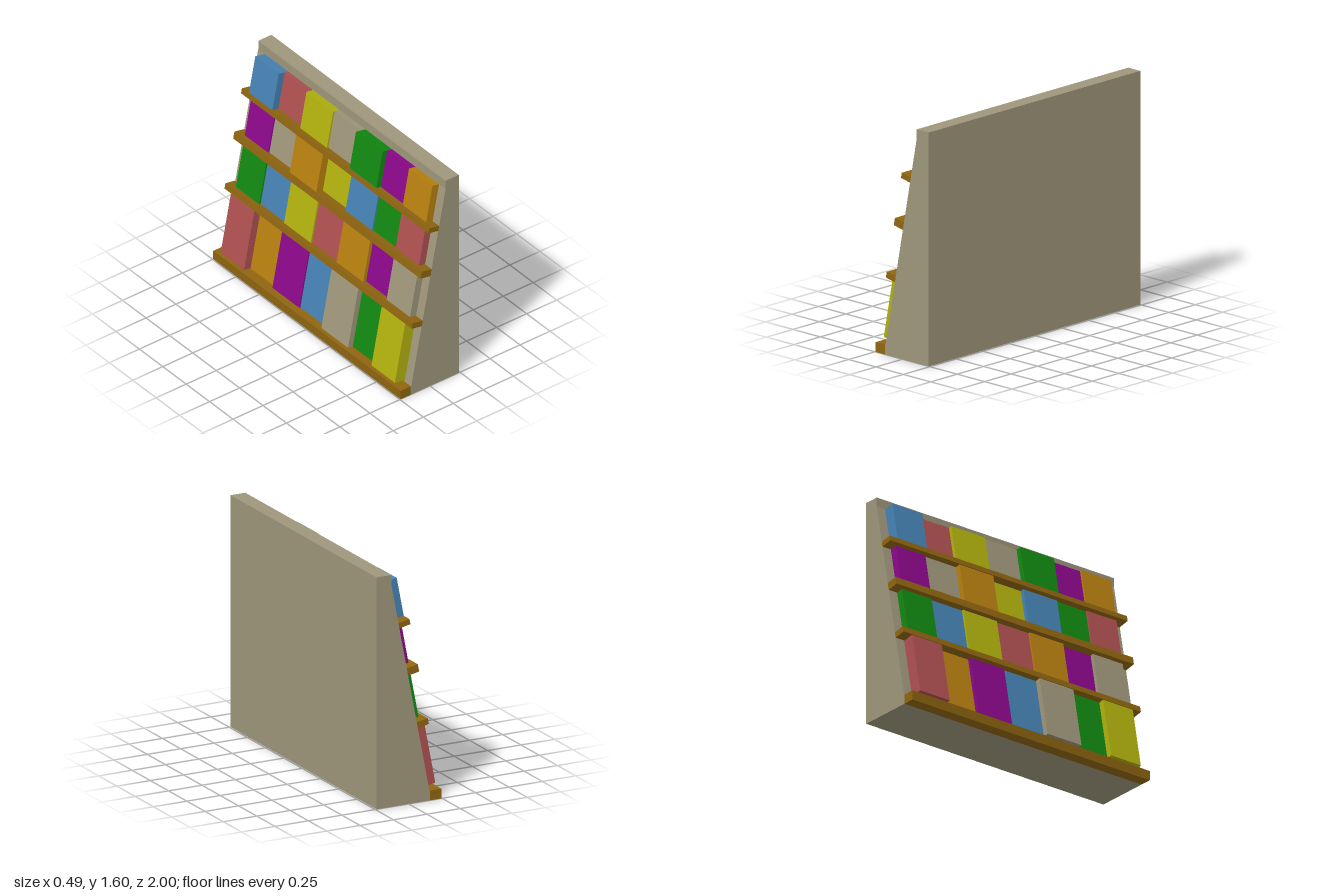
import * as THREE from 'three';

const TILT = THREE.MathUtils.degToRad(11);
const COLORS = {
  stone: 0x9f977b, wood: 0x8f6510, red: 0xaf5050, orange: 0xb8800f, purple: 0x8b088b,
  blue: 0x4682b4, green: 0x118811, yellow: 0xb2b20e,
};
const materials = {};
for (const [key, color] of Object.entries(COLORS)) {
  materials[key] = new THREE.MeshStandardMaterial({ color, flatShading: true });
}

// Box given by its two extreme corners
function box(name, material, [x0, y0, z0], [x1, y1, z1]) {
  const mesh = new THREE.Mesh(new THREE.BoxGeometry(x1 - x0, y1 - y0, z1 - z0), materials[material]);
  mesh.position.set((x0 + x1) / 2, (y0 + y1) / 2, (z0 + z1) / 2);
  mesh.name = name;
  return mesh;
}

// Column boundaries along z, shared by all rows
const COLUMNS = [-0.93, -0.68, -0.415, -0.13, 0.145, 0.43, 0.68, 0.93];

// Rows of books: start and end along the slope, then colour and thickness of each
const ROWS = [
  { from: 0.075, to: 0.517, books: [['red', 0.085], ['orange', 0.03], ['purple', 0.055], ['blue', 0.045], ['stone', 0.085], ['green', 0.045], ['yellow', 0.085]] },
  { from: 0.566, to: 0.9, books: [['green', 0.052], ['blue', 0.04], ['yellow', 0.052], ['red', 0.04], ['orange', 0.052], ['purple', 0.027], ['stone', 0.052]] },
  { from: 0.957, to: 1.243, books: [['purple', 0.052], ['stone', 0.042], ['orange', 0.08], ['yellow', 0.025], ['blue', 0.052], ['green', 0.042], ['red', 0.052]] },
  { from: 1.286, to: 1.562, books: [['blue', 0.08], ['red', 0.03], ['yellow', 0.055], ['stone', 0.042], ['green', 0.08], ['purple', 0.042], ['orange', 0.055]] },
];

// Tilted shelves: bottom and top along the slope
const SHELVES = [[0.522, 0.564], [0.902, 0.955], [1.245, 1.283]];

export function createModel() {
  const model = new THREE.Group();
  model.name = 'bookDisplay';

  // Wedge-shaped body
  const profile = new THREE.Shape([
    [-0.16, 0], [0.24, 0], [0.24, 1.6], [0.13, 1.6], [0.13, 1.535], [-0.155, 0.07], [-0.16, 0.065],
  ].map(([x, y]) => new THREE.Vector2(x, y)));
  const body = new THREE.Mesh(
    new THREE.ExtrudeGeometry(profile, { depth: 2, bevelEnabled: false }).translate(0, 0, -1),
    materials.stone);
  body.name = 'body';
  model.add(body);

  // Upright ledge along the foot
  model.add(box('bottomShelf', 'wood', [-0.245, 0, -1], [-0.158, 0.067, 1]));

  // Everything resting on the slope; local y runs up it, local -x points outwards
  const slope = new THREE.Group();
  slope.name = 'slopingDisplay';
  slope.position.x = -0.1686;
  slope.rotation.z = -TILT;
  model.add(slope);

  for (const [bottom, top] of SHELVES) {
    slope.add(box('shelf', 'wood', [-0.084, bottom, -1], [0.001, top, 1]));
  }

  for (const { from, to, books } of ROWS) {
    const row = new THREE.Group();
    row.name = 'bookRow';
    books.forEach(([color, thickness], i) => {
      row.add(box('book', color, [-thickness, from, COLUMNS[i]], [0.001, to, COLUMNS[i + 1]]));
    });
    slope.add(row);
  }
  return model;
}
